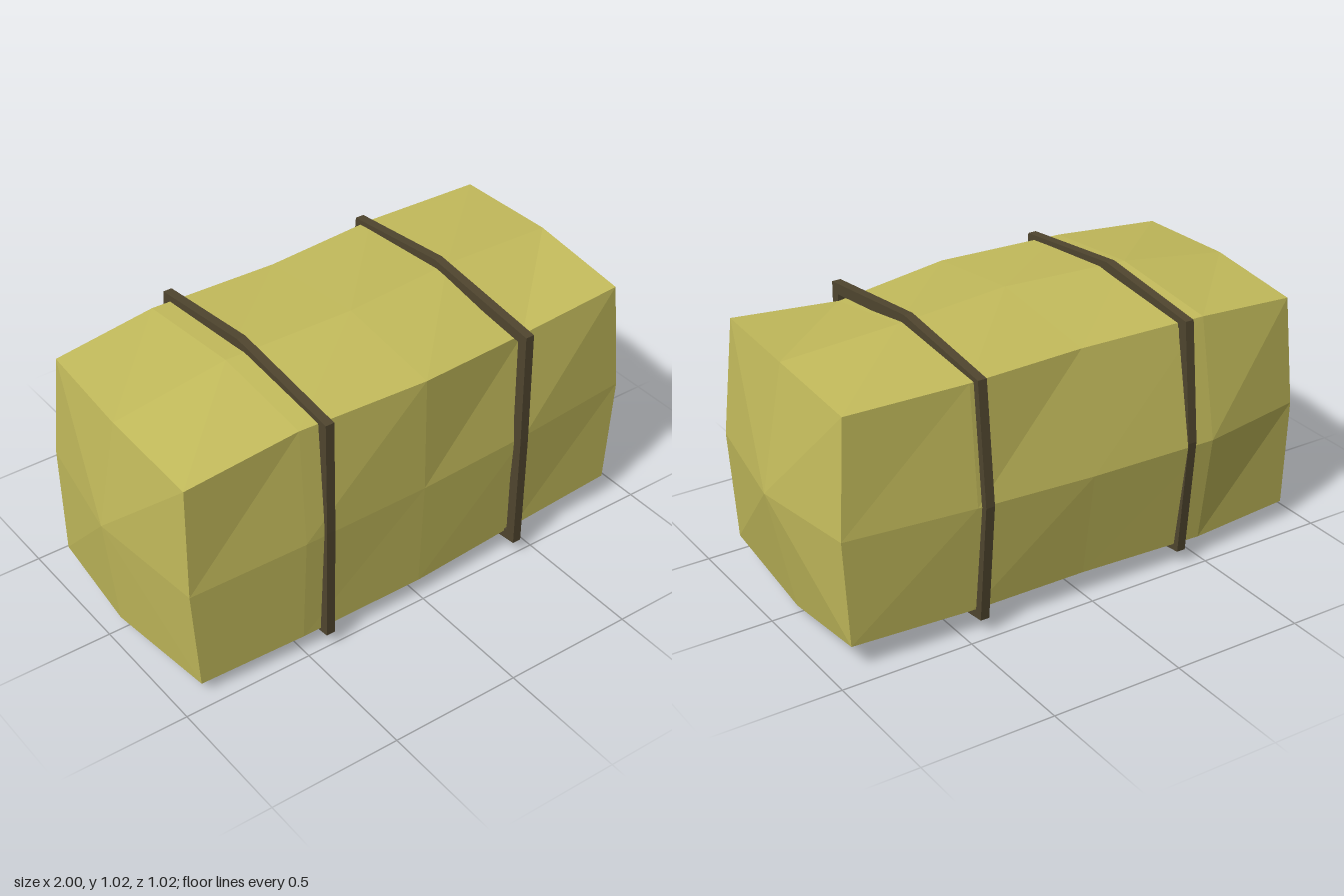
import * as THREE from 'three';

const straw = new THREE.MeshStandardMaterial({ color: 0xc4bc5c, flatShading: true });
const twine = new THREE.MeshStandardMaterial({ color: 0x50462f, flatShading: true });

// Eight-point cross-sections as [z, y]: top front, top, top back, back,
// bottom back, bottom, bottom front, front. x is one value or one per point.
const sections = [
  { x: [-0.94, -0.94, -0.90, -0.92, -0.92, -0.95, -0.90, -0.94],
    ring: [[0.46, 0.91], [0.04, 0.925], [-0.40, 0.91], [-0.43, 0.5], [-0.41, 0.08], [0, 0.055], [0.44, 0.05], [0.46, 0.47]] },
  { x: -0.5,
    ring: [[0.46, 0.95], [0.04, 0.99], [-0.425, 0.945], [-0.51, 0.5], [-0.45, 0.08], [0, 0.012], [0.47, 0.07], [0.495, 0.5]] },
  { x: 0,
    ring: [[0.485, 0.95], [0.06, 1.0], [-0.41, 0.945], [-0.50, 0.5], [-0.44, 0.09], [0, 0.04], [0.47, 0.07], [0.49, 0.5]] },
  { x: 0.46,
    ring: [[0.43, 0.92], [0.01, 0.99], [-0.44, 0.95], [-0.485, 0.51], [-0.44, 0.09], [-0.01, 0.035], [0.45, 0.085], [0.475, 0.51]] },
  { x: [0.88, 0.915, 0.92, 0.955, 0.92, 0.91, 0.90, 0.925],
    ring: [[0.435, 0.955], [0, 0.97], [-0.425, 0.95], [-0.45, 0.52], [-0.425, 0.10], [-0.02, 0.045], [0.435, 0.10], [0.44, 0.52]] },
];

function baleGeometry() {
  const pos = [];
  const index = [];
  const n = 8;
  const last = (sections.length - 1) * n;
  for (const { x, ring } of sections) {
    ring.forEach(([z, y], j) => pos.push(Array.isArray(x) ? x[j] : x, y, z));
  }
  // bulging centre point of each end
  const leftTip = pos.length / 3;
  pos.push(-1, 0.5, 0.01, 1, 0.505, 0);
  for (let j = 0; j < n; j++) {
    const k = (j + 1) % n;
    for (let i = 0; i < last; i += n) {
      const a = i + j, b = i + k, c = i + n + k, d = i + n + j;
      index.push(a, d, c, a, c, b);
    }
    index.push(leftTip, j, k, leftTip + 1, last + k, last + j);
  }
  const geo = new THREE.BufferGeometry();
  geo.setAttribute('position', new THREE.Float32BufferAttribute(pos, 3));
  geo.setIndex(index);
  const flat = geo.toNonIndexed();
  flat.computeVertexNormals();
  return flat;
}

// Closed band following the bale's outline
function strapGeometry() {
  const outline = [[0.505, 0.965], [0, 1.022], [-0.465, 0.965], [-0.51, 0.515],
    [-0.47, 0.06], [0, 0.002], [0.505, 0.06], [0.51, 0.52]].map(([z, y]) => new THREE.Vector2(z, y));
  const centre = new THREE.Vector2(0, 0.51);
  const shape = new THREE.Shape(outline);
  shape.holes.push(new THREE.Path(outline.map((p) => p.clone().sub(centre).multiplyScalar(0.92).add(centre))));
  return new THREE.ExtrudeGeometry(shape, { depth: 0.034, bevelEnabled: false })
    .translate(0, 0, -0.017)
    .rotateY(-Math.PI / 2);
}

export function createModel() {
  const model = new THREE.Group();
  model.name = 'hayBale';

  const bale = new THREE.Mesh(baleGeometry(), straw);
  bale.name = 'bale';
  model.add(bale);

  // two binding straps
  const band = strapGeometry();
  for (const [name, x] of [['rightStrap', -0.41], ['leftStrap', 0.427]]) {
    const strap = new THREE.Mesh(band, twine);
    strap.name = name;
    strap.position.x = x;
    model.add(strap);
  }
  return model;
}
